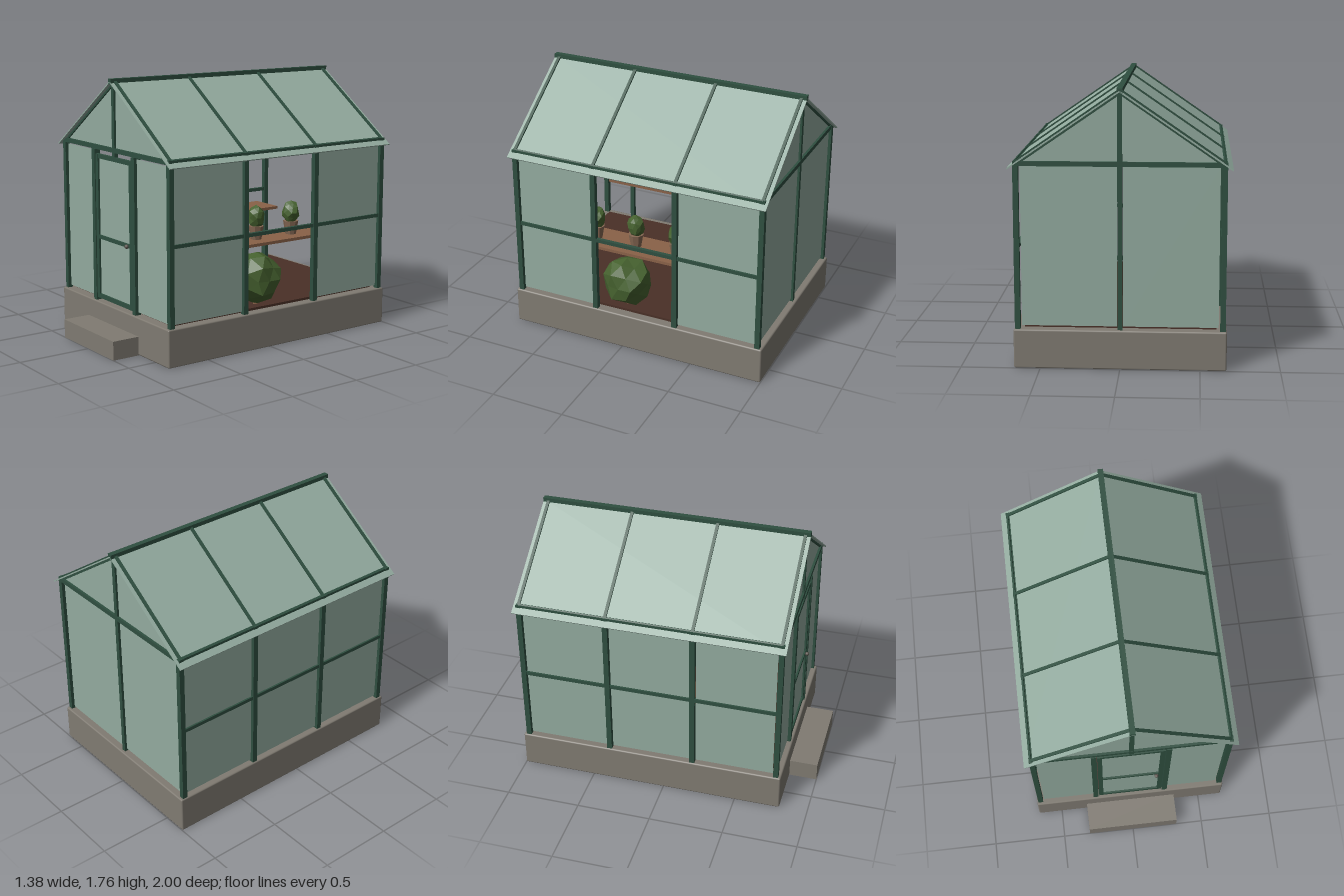
import * as THREE from 'three';
import { RoundedBoxGeometry } from 'three/addons/geometries/RoundedBoxGeometry.js';

export function createModel() {
  const root = new THREE.Group();
  root.name = 'greenhouse';
  const mat = (name, color) => {
    const m = new THREE.MeshStandardMaterial({ color });
    m.name = name;
    return m;
  };
  const frame = mat('frame green', 0x2f4f40);
  const glass = mat('glass', 0x93ab9f);
  const stone = mat('stone', 0x807b72);
  const soil = mat('soil', 0x4a3027);
  const wood = mat('shelf wood', 0x8a6248);
  const clay = mat('clay', 0x866853);
  const leaf = mat('leaf', 0x46622f);
  const metal = mat('handle metal', 0x5d5750);
  leaf.flatShading = true;
  clay.flatShading = true;

  const add = (name, geo, material, x = 0, y = 0, z = 0, parent = root) => {
    const m = new THREE.Mesh(geo, material);
    m.name = name;
    m.position.set(x, y, z);
    parent.add(m);
    return m;
  };
  // Box given by its limits
  const box = (name, material, x0, x1, y0, y1, z0, z1, parent = root) =>
    add(name, new THREE.BoxGeometry(x1 - x0, y1 - y0, z1 - z0), material,
      (x0 + x1) / 2, (y0 + y1) / 2, (z0 + z1) / 2, parent);

  const W = 0.64, FRONT = 0.775, BACK = -0.965, BASE = 0.25, EAVE = 1.295, RIDGE = 1.74;
  const bays = [FRONT, 0.2, -0.38, BACK];
  const mid = (FRONT + BACK) / 2;

  // Base, step and soil floor
  add('foundation', new RoundedBoxGeometry(1.33, BASE, 1.81, 1, 0.01), stone, 0, BASE / 2, -0.095);
  box('step', stone, -0.315, 0.315, 0, 0.125, 0.8, 1);
  box('soilFloor', soil, -0.6, 0.6, BASE - 0.01, 0.266, -0.93, 0.74);

  // Side walls: posts, rails, outward-facing panes (one bay of the left wall is open)
  for (const s of [-1, 1]) {
    bays.forEach((z, i) => {
      box('wallPost', frame, s * W - 0.017, s * W + 0.017, BASE, 1.31, z - 0.017, z + 0.017);
      if (i === 3 || (s === 1 && i === 1)) return;
      const length = z - bays[i + 1] - 0.045;
      const pane = add('sidePane', new THREE.PlaneGeometry(length, 1.01), glass,
        s * W, 0.775, (z + bays[i + 1]) / 2);
      pane.rotation.y = s * Math.PI / 2;
    });
    box('sideRail', frame, s * W - 0.012, s * W + 0.012, 0.758, 0.782, BACK, FRONT);
    box('eaveBeam', frame, s * W - 0.015, s * W + 0.015, 1.28, 1.31, BACK, FRONT);
  }

  // End walls: tie beam, king post, gable glass
  const gable = new THREE.Shape([
    new THREE.Vector2(-W, EAVE), new THREE.Vector2(W, EAVE), new THREE.Vector2(0, RIDGE - 0.01)]);
  for (const z of [FRONT, BACK]) {
    const out = z > 0 ? 1 : -1;
    box('tieBeam', frame, -W, W, 1.28, 1.31, z - 0.016, z + 0.016);
    box('kingPost', frame, -0.015, 0.015, out > 0 ? 1.24 : BASE, RIDGE, z - 0.014, z + 0.014);
    const g = add('gableGlass', new THREE.ShapeGeometry(gable), glass, 0, 0, z);
    if (out < 0) g.rotation.y = Math.PI;
  }
  for (const s of [-1, 1]) {
    add('frontPane', new THREE.PlaneGeometry(0.355, 1.0), glass, s * 0.4365, 0.77, FRONT);
    const back = add('backPane', new THREE.PlaneGeometry(0.595, 1.01), glass, s * 0.316, 0.775, BACK);
    back.rotation.y = Math.PI;
  }

  // Door and its surround
  const door = new THREE.Group();
  door.name = 'door';
  root.add(door);
  for (const s of [-1, 1]) {
    box('doorPost', frame, s * 0.244 - 0.018, s * 0.244 + 0.018, BASE, 1.28, 0.755, 0.797);
    box('doorStile', frame, s * 0.206 - 0.015, s * 0.206 + 0.015, 0.27, 1.25, 0.768, 0.793, door);
  }
  for (const [y0, y1] of [[0.27, 0.3], [0.68, 0.705], [1.222, 1.25]])
    box('doorRail', frame, -0.2, 0.2, y0, y1, 0.768, 0.792, door);
  add('doorPane', new THREE.PlaneGeometry(0.39, 0.94), glass, 0, 0.76, 0.78, door);
  add('doorHandle', new THREE.SphereGeometry(0.014, 10, 8), metal, 0.175, 0.692, 0.805, door);

  // Roof slopes: each is built flat along local x, then tilted about the ridge
  const angle = Math.atan2(0.475, 0.69);
  const slope = Math.hypot(0.69, 0.475);
  const run = W / Math.cos(angle);
  for (const s of [-1, 1]) {
    const roof = new THREE.Group();
    roof.name = 'roofSlope';
    roof.position.y = RIDGE;
    if (s < 0) roof.rotation.set(0, Math.PI, 0);
    const tilt = new THREE.Group();
    tilt.name = 'roofPanel';
    tilt.rotation.z = -angle;
    roof.add(tilt);
    root.add(roof);
    const zs = z => s * z;
    add('roofGlass', new THREE.BoxGeometry(slope, 0.008, 1.81), glass, slope / 2, 0, zs(-0.095), tilt);
    for (const z of bays)
      add('rafter', new THREE.BoxGeometry(run, 0.032, 0.02), frame, run / 2, -0.002, zs(z), tilt);
    add('eavePurlin', new THREE.BoxGeometry(0.014, 0.03, FRONT - BACK), frame, run, 0, zs(mid), tilt);
  }
  box('ridgeBeam', frame, -0.018, 0.018, 1.725, 1.76, -1, 0.81);

  // Faceted foliage with small repeatable bumps
  const foliage = (name, x, y, z, rx, ry, rz, seed) => {
    const g = new THREE.IcosahedronGeometry(1, 1);
    const p = g.attributes.position;
    for (let i = 0; i < p.count; i++) {
      const a = p.getX(i), b = p.getY(i), c = p.getZ(i);
      const k = 0.98 + 0.09 * Math.sin(a * 4.1 + b * 5.7 + c * 3.3 + seed);
      p.setXYZ(i, a * k * rx, b * k * ry, c * k * rz);
    }
    g.computeVertexNormals();
    return add(name, g, leaf, x, y, z);
  };

  // Benches along both walls
  for (const s of [-1, 1]) {
    box('shelf', wood, s * 0.465 - 0.125, s * 0.465 + 0.125, 0.67, 0.69, -0.85, 0.6);
    for (const z of [0.42, -0.76])
      box('shelfLeg', frame, s * 0.37 - 0.014, s * 0.37 + 0.014, 0.26, 0.67, z - 0.014, z + 0.014);
    [0.27, -0.02, -0.315, -0.6].forEach((z, i) => {
      add('flowerPot', new THREE.CylinderGeometry(0.052, 0.036, 0.09, 8), clay, s * 0.47, 0.735, z);
      foliage('pottedPlant', s * 0.47, 0.838, z, 0.058, 0.078, 0.058, i * 1.7);
    });
  }

  // Shrub by the open bay
  add('shrubStem', new THREE.CylinderGeometry(0.015, 0.02, 0.14, 6), wood, 0.52, 0.33, 0.02);
  foliage('shrub', 0.525, 0.447, 0.02, 0.165, 0.172, 0.163, 0.6);

  return root;
}
